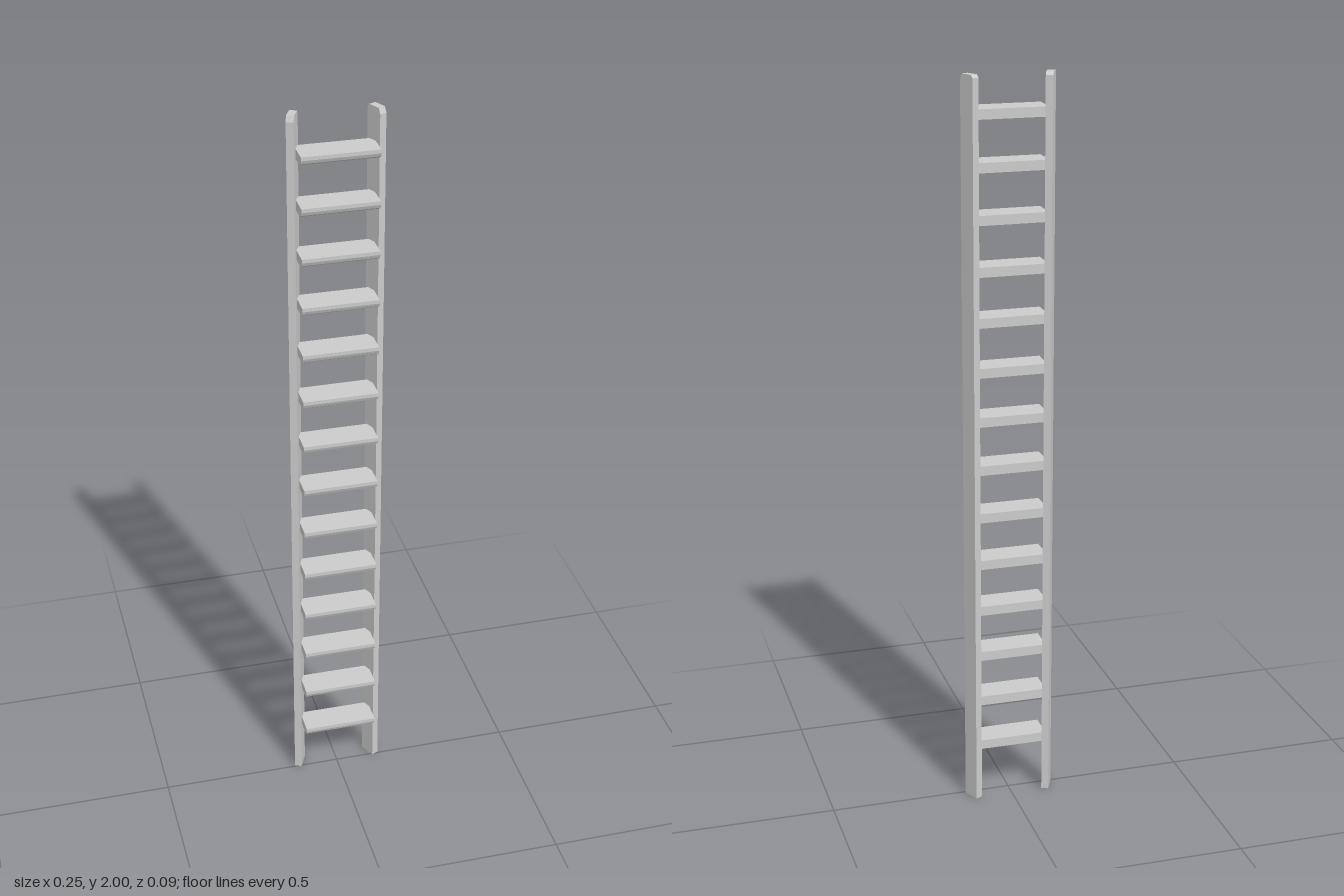
import * as THREE from 'three';

const material = new THREE.MeshStandardMaterial({ color: 0xcccccc, flatShading: true });

// Extrudes a (depth, height) outline along the x axis, centred on x = 0
function extrudeAcross(points, width) {
  const shape = new THREE.Shape(points.map(([d, h]) => new THREE.Vector2(d, h)));
  const geometry = new THREE.ExtrudeGeometry(shape, { depth: width, bevelEnabled: false });
  geometry.translate(0, 0, -width / 2);
  geometry.rotateY(-Math.PI / 2); // outline x becomes +z
  return geometry;
}

export function createModel() {
  const model = new THREE.Group();
  model.name = 'ladder';

  // Side rails: planks with clipped top corners, angled outward to the front
  const half = 0.0238;
  const railGeometry = extrudeAcross([
    [-half, 0], [half, 0], [half, 1.985],
    [half - 0.006, 2], [-half + 0.006, 2], [-half, 1.992],
  ], 0.0195);
  for (const side of [-1, 1]) {
    const rail = new THREE.Mesh(railGeometry, material);
    rail.name = side > 0 ? 'leftRail' : 'rightRail';
    rail.position.set(side * 0.1055, 0, -0.021);
    rail.rotation.y = side * THREE.MathUtils.degToRad(25);
    model.add(rail);
  }

  // Flat treads with the lower front edge cut away
  const rungGeometry = extrudeAcross([
    [-0.031, -0.013], [0.032, -0.013], [0.043, -0.006],
    [0.047, 0.003], [0.047, 0.013], [-0.031, 0.013],
  ], 0.2);
  const rungCount = 14;
  for (let i = 0; i < rungCount; i++) {
    const rung = new THREE.Mesh(rungGeometry, material);
    rung.name = `rung${i + 1}`;
    rung.position.y = 0.157 + i * 0.1341;
    model.add(rung);
  }
  return model;
}
